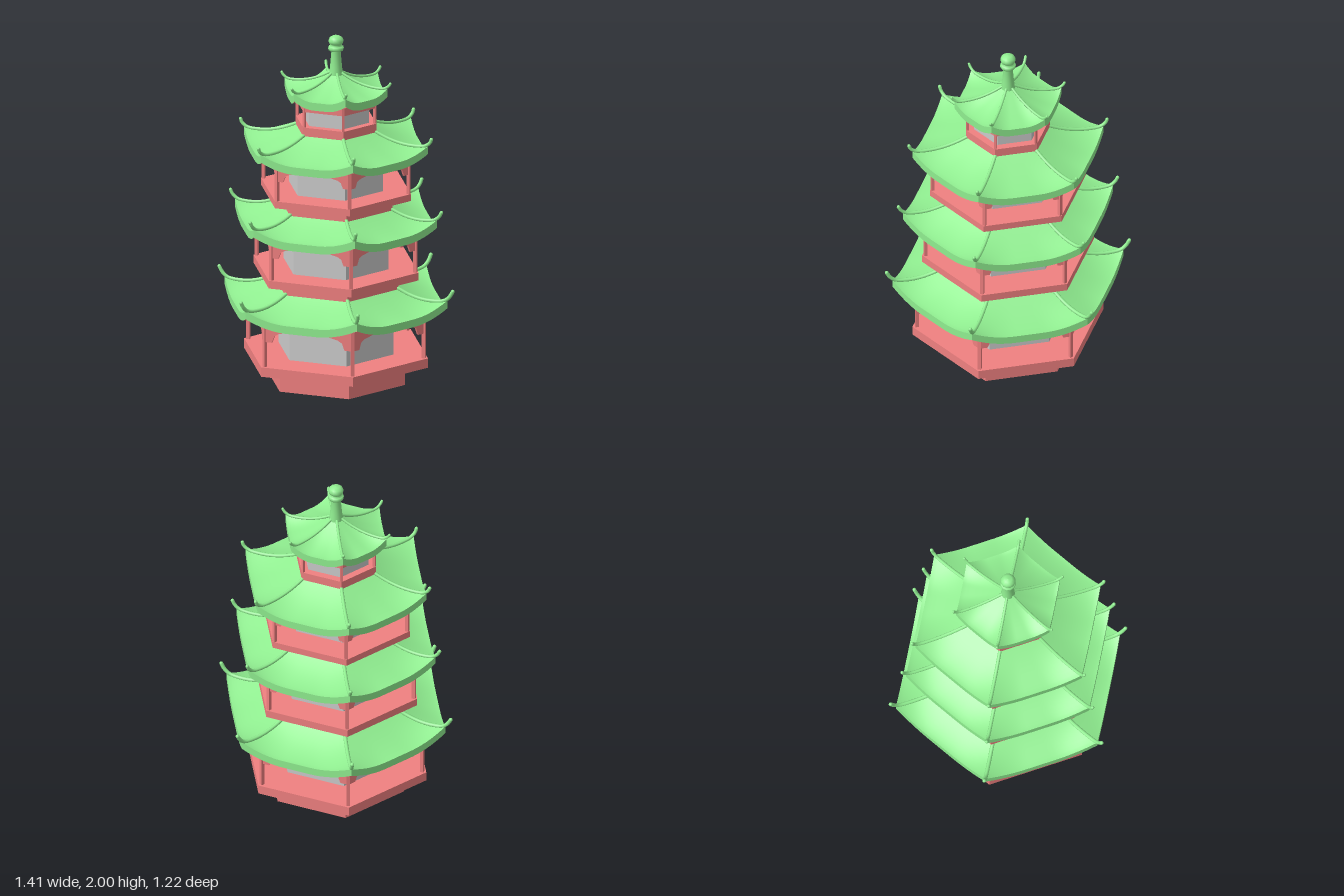
import * as THREE from 'three';
import { ParametricGeometry } from 'three/addons/geometries/ParametricGeometry.js';

const SIXTH = Math.PI / 3;
const EAVE = 0.045; // thickness of the roof edge

const coral = new THREE.MeshStandardMaterial({ color: 0xf08080, flatShading: true, side: THREE.DoubleSide });
const coralSmooth = new THREE.MeshStandardMaterial({ color: 0xf08080, side: THREE.DoubleSide });
const green = new THREE.MeshStandardMaterial({ color: 0x90ee90, side: THREE.DoubleSide });
const grey = new THREE.MeshStandardMaterial({ color: 0xcccccc, flatShading: true, side: THREE.DoubleSide });

function add(parent, name, geometry, material) {
  const mesh = new THREE.Mesh(geometry, material);
  mesh.name = name;
  parent.add(mesh);
  return mesh;
}

// Open six-sided tube with corners on the x axis
function hexTube(r, y0, y1) {
  return new THREE.CylinderGeometry(r, r, y1 - y0, 6, 1, true, Math.PI / 2).translate(0, (y0 + y1) / 2, 0);
}

// Six-sided slab with a six-sided opening
function hexRing(r, inner, y0, y1) {
  const corners = (q) => Array.from({ length: 6 }, (_, i) =>
    new THREE.Vector2(q * Math.cos(i * SIXTH), q * Math.sin(i * SIXTH)));
  const shape = new THREE.Shape(corners(r));
  shape.holes.push(new THREE.Path(corners(inner).reverse()));
  return new THREE.ExtrudeGeometry(shape, { depth: y1 - y0, bevelEnabled: false })
    .rotateX(-Math.PI / 2).translate(0, y0, 0);
}

// Stepped bracket running along one side from the post
function bracketGeometry(s) {
  const shape = new THREE.Shape([
    [0, 0], [0.15, 0], [0.15, -0.04], [0.085, -0.055], [0.06, -0.07], [0.045, -0.11], [0, -0.11],
  ].map(([x, y]) => new THREE.Vector2(x * s, y * s)));
  return new THREE.ExtrudeGeometry(shape, { depth: 0.012, bevelEnabled: false }).translate(0, 0, -0.006);
}

// Post at every corner, with a bracket along each adjoining side
function buildPosts(t) {
  const posts = new THREE.Group();
  posts.name = 'posts';
  const top = t.eaveY + 0.03;
  for (let i = 0; i < 6; i++) {
    const corner = new THREE.Group();
    corner.name = 'cornerPost';
    corner.rotation.y = i * SIXTH;
    const w = t.bracket ? 0.019 : 0.014;
    add(corner, 'post', new THREE.BoxGeometry(w, top - t.deckTop, w), coral)
      .position.set(t.postR, (top + t.deckTop) / 2, 0);
    for (const side of t.bracket ? [-1, 1] : []) {
      const arm = add(corner, 'bracket', bracketGeometry(t.bracket), coral);
      arm.position.set(t.postR, t.eaveY + 0.01, 0);
      arm.rotation.y = side * 2 * SIXTH;
    }
    posts.add(corner);
  }
  return posts;
}

// Concave hexagonal roof whose eaves sweep up at the corners
function buildRoof(t) {
  const roof = new THREE.Group();
  roof.name = 'roof';
  const low = t.eaveY + EAVE;
  const surface = (u, v, drop, p) => {
    const r = THREE.MathUtils.lerp(t.roofIn, t.roofR, v);
    const sweep = Math.max(0, (Math.abs(2 * u - 1) - 0.25) / 0.75) ** 2 * t.lift;
    const fall = 1 - (1 - v) ** 1.6;
    return p.set(
      r * (1 - u + u * Math.cos(SIXTH)),
      t.roofTop + (low - t.roofTop) * fall + sweep * v * v - drop,
      r * u * Math.sin(SIXTH));
  };
  const tiles = new ParametricGeometry((u, v, p) => surface(u, v, 0, p), 20, 10);
  const fascia = new ParametricGeometry((u, v, p) => surface(u, 1, v * EAVE, p), 20, 1);
  const soffit = new ParametricGeometry((u, v, p) => surface(1 - u, v, EAVE, p), 20, 10);

  // Corner ridge follows the roof and curls up past the eave
  const path = [0, 0.25, 0.5, 0.75, 0.94].map((v) => surface(0, v, -0.004, new THREE.Vector3()));
  const tip = new THREE.Vector3(t.tipR, t.tipY - 0.006, 0);
  path.push(new THREE.Vector3(t.roofR + 0.012, low + t.lift + 0.022, 0), tip);
  const ridge = new THREE.TubeGeometry(new THREE.CatmullRomCurve3(path), 28, t.ridge, 8);

  for (let i = 0; i < 6; i++) {
    const sector = new THREE.Group();
    sector.name = 'roofSide';
    sector.rotation.y = i * SIXTH;
    add(sector, 'tiles', tiles, green);
    add(sector, 'eaveEdge', fascia, green);
    add(sector, 'soffit', soffit, coralSmooth);
    add(sector, 'ridge', ridge, green);
    add(sector, 'ridgeTip', new THREE.SphereGeometry(t.ridge, 8, 6), green).position.copy(tip);
    roof.add(sector);
  }
  return roof;
}

function buildTier(t) {
  const tier = new THREE.Group();
  tier.name = 'tier';
  add(tier, 'base', hexTube(t.baseR, t.baseY, t.deckY), coral);
  add(tier, 'deck', hexRing(t.deckR, t.wallR, t.deckY, t.deckTop), coral);
  add(tier, 'wall', hexTube(t.wallR, t.deckTop, t.wallTop), grey);
  if (!t.bracket) add(tier, 'beam', hexRing(t.postR + 0.007, t.postR - 0.008, t.eaveY - 0.035, t.eaveY + 0.01), coral);
  tier.add(buildPosts(t), buildRoof(t));
  return tier;
}

export function createModel() {
  const model = new THREE.Group();
  model.name = 'pagoda';

  const tiers = [
    { baseR: 0.41, baseY: 0, deckR: 0.545, deckY: 0.115, deckTop: 0.17, wallR: 0.34, wallTop: 0.5, postR: 0.52,
      bracket: 1, eaveY: 0.415, roofR: 0.66, roofIn: 0.36, roofTop: 0.56, lift: 0.06, tipR: 0.692, tipY: 0.582, ridge: 0.011 },
    { baseR: 0.37, baseY: 0.54, deckR: 0.49, deckY: 0.62, deckTop: 0.665, wallR: 0.31, wallTop: 0.95, postR: 0.47,
      bracket: 0.92, eaveY: 0.885, roofR: 0.6, roofIn: 0.32, roofTop: 1.02, lift: 0.055, tipR: 0.625, tipY: 1.037, ridge: 0.01 },
    { baseR: 0.335, baseY: 0.99, deckR: 0.445, deckY: 1.08, deckTop: 1.12, wallR: 0.28, wallTop: 1.39, postR: 0.43,
      bracket: 0.83, eaveY: 1.315, roofR: 0.545, roofIn: 0.22, roofTop: 1.465, lift: 0.05, tipR: 0.565, tipY: 1.458, ridge: 0.01 },
    { baseR: 0.21, baseY: 1.44, deckR: 0.24, deckY: 1.46, deckTop: 1.51, wallR: 0.195, wallTop: 1.66, postR: 0.23,
      bracket: 0, eaveY: 1.635, roofR: 0.305, roofIn: 0.025, roofTop: 1.785, lift: 0.04, tipR: 0.322, tipY: 1.757, ridge: 0.008 },
  ];
  for (const t of tiers) model.add(buildTier(t));

  // Spire with a collar and a ball
  const profile = [
    [0.042, 1.75], [0.034, 1.82], [0.026, 1.91], [0.041, 1.915], [0.045, 1.927], [0.041, 1.938], [0.026, 1.943],
    [0.039, 1.955], [0.043, 1.97], [0.037, 1.987], [0.022, 1.997], [0, 2],
  ].map(([r, y]) => new THREE.Vector2(r, y));
  add(model, 'spire', new THREE.LatheGeometry(profile, 12), green);

  return model;
}
